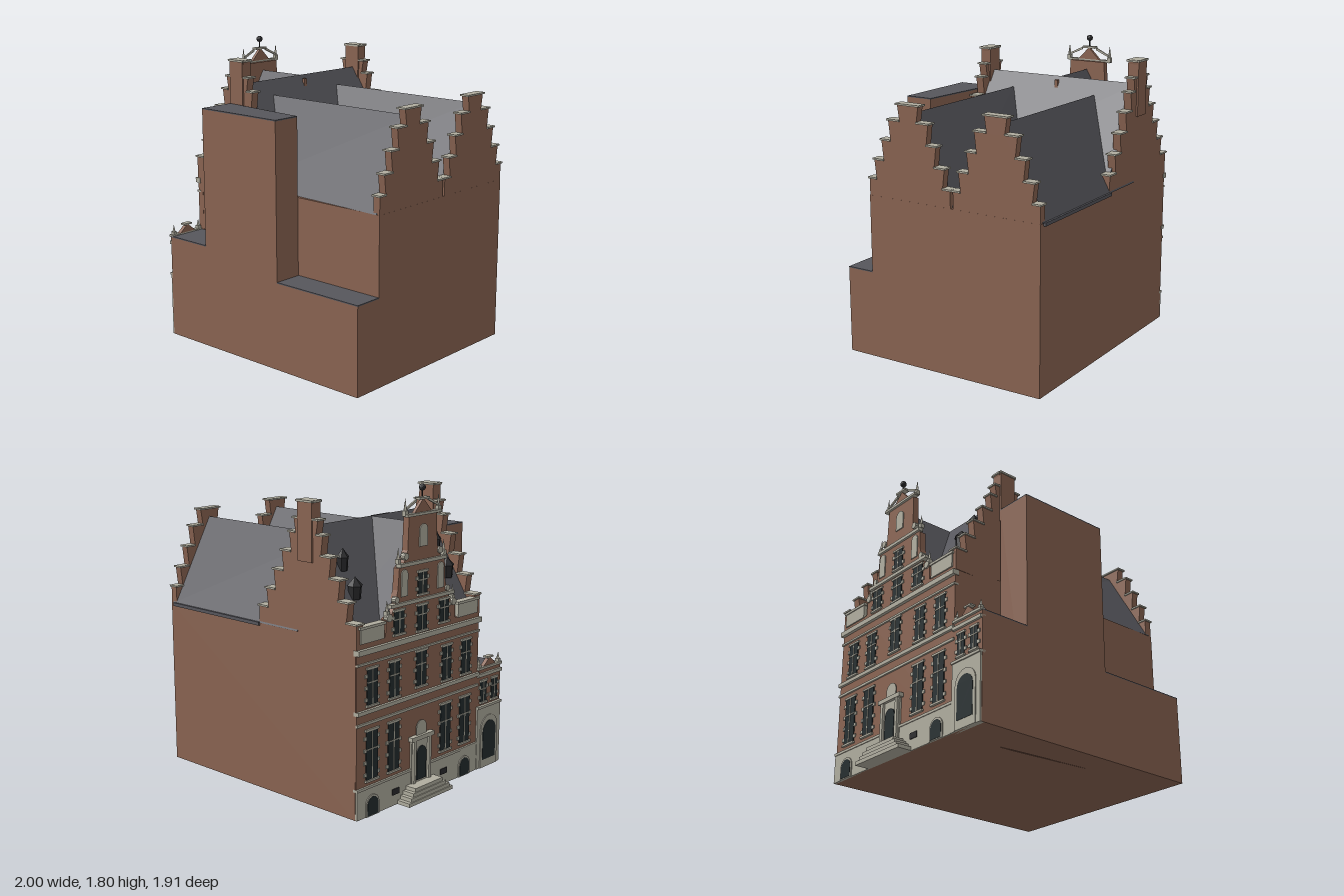
import * as THREE from 'three';

const mat = (name, color, double) => {
  const m = new THREE.MeshStandardMaterial({ color, flatShading: true });
  m.name = name;
  if (double) m.side = THREE.DoubleSide;
  return m;
};

export function createModel() {
  const brick = mat('brick', 0x8a6452);
  const slate = mat('slate', 0x56565c, true);
  const stone = mat('stone', 0xb0ad9f);
  const glass = mat('darkGlass', 0x232c2e);
  const iron = mat('iron', 0x2b2b2d);

  const model = new THREE.Group();
  model.name = 'townHouse';
  const house = new THREE.Group();
  house.name = 'house';
  house.rotation.y = THREE.MathUtils.degToRad(-119.2);
  model.add(house);

  const add = (name, geo, material, parent = house) => {
    const m = new THREE.Mesh(geo, material);
    m.name = name;
    parent.add(m);
    return m;
  };
  // box from min/max corners
  const box = (name, x0, x1, y0, y1, z0, z1, material, parent) =>
    add(name, new THREE.BoxGeometry(x1 - x0, y1 - y0, z1 - z0)
      .translate((x0 + x1) / 2, (y0 + y1) / 2, (z0 + z1) / 2), material, parent);
  // vertical wall block over a ground plan of [x, z]
  const plan = (name, pts, y0, y1, material) => {
    const s = new THREE.Shape(pts.map(([x, z]) => new THREE.Vector2(x, -z)));
    const g = new THREE.ExtrudeGeometry(s, { depth: y1 - y0, bevelEnabled: false });
    return add(name, g.rotateX(-Math.PI / 2).translate(0, y0, 0), material);
  };
  // upright outline of [x, y] with depth from z0 to z1
  const outline = (name, pts, z0, z1, material, parent) => {
    const s = new THREE.Shape(pts.map(p => new THREE.Vector2(...p)));
    const g = new THREE.ExtrudeGeometry(s, { depth: z1 - z0, bevelEnabled: false });
    return add(name, g.translate(0, 0, z0), material, parent);
  };
  // solid between two matching loops of [x, y, z]
  const loft = (name, a, b, material) => {
    const v = [], n = a.length;
    const tri = (p, q, r) => v.push(...p, ...q, ...r);
    for (let i = 0; i < n; i++) {
      const j = (i + 1) % n;
      tri(a[i], b[i], b[j]);
      tri(a[i], b[j], a[j]);
    }
    tri(a[0], a[1], a[2]);
    tri(b[0], b[2], b[1]);
    const g = new THREE.BufferGeometry();
    g.setAttribute('position', new THREE.Float32BufferAttribute(v, 3));
    g.computeVertexNormals();
    return add(name, g, material);
  };

  // main walls and side extension
  plan('mainWalls', [[-0.665, 0.75], [0.425, 0.75], [0.44, 0.33], [0.486, -0.155], [0.488, -0.76], [-0.665, -0.76]], 0, 1, brick);
  const parts = [
    ['frontAnnex', [[0.425, 0.755], [0.665, 0.755], [0.665, 0.44], [0.435, 0.44]], 0.63],
    ['sideTower', [[0.44, 0.44], [0.665, 0.44], [0.665, -0.155], [0.488, -0.155]], 1.465],
    ['rearAnnex', [[0.48, -0.155], [0.665, -0.155], [0.665, -0.76], [0.48, -0.76]], 0.527],
  ];
  for (const [name, pts, h] of parts) {
    plan(name, pts, 0, h, brick);
    plan(name + 'Roof', pts, h, h + 0.007, slate);
  }

  // roofs: front wing, two rear wings and the cross roof behind the facade gable
  const frontLoop = (x) => [[x, 1, 0.745], [x, 1, 0], [x, 1.59, 0.378]];
  loft('frontRoof', frontLoop(0.42), frontLoop(-0.64), slate);
  const rearLoop = (x0, x1, xm, z) => [[x0, 1, z], [x1, 1, z], [xm, 1.505, z]];
  loft('rearRoofA', rearLoop(-0.67, -0.09, -0.385, 0.32), rearLoop(-0.67, -0.09, -0.385, -0.74), slate);
  loft('rearRoofB', rearLoop(-0.09, 0.445, 0.19, 0.32), rearLoop(-0.09, 0.492, 0.195, -0.74), slate);
  const crossLoop = (z) => [[-0.455, 1, z], [0.225, 1, z], [-0.115, 1.588, z]];
  loft('crossRoof', crossLoop(0.73), crossLoop(0.38), slate);
  box('gutter', -0.68, -0.655, 0.985, 1.005, -0.73, 0.02, slate);
  box('ridgeVent', -0.12, -0.1, 1.52, 1.57, 0.335, 0.355, brick);

  // stepped gables: levels are [half width, top height]
  const stepGable = (name, levels, thick, x, z, turn) => {
    const g = new THREE.Group();
    g.name = name;
    g.position.set(x, 0, z);
    g.rotation.y = turn;
    house.add(g);
    const right = [[levels[0][0], 0.97]];
    levels.forEach(([h, y], i) => {
      if (i) right.push([h - 0.014, levels[i - 1][1]]);
      right.push([h, y]);
    });
    const left = right.map(([h, y]) => [-h, y]).reverse();
    outline('gableWall', [...right, ...left], -thick / 2, thick / 2, brick, g);
    levels.forEach(([h, y], i) => {
      const inner = i < levels.length - 1 ? levels[i + 1][0] - 0.014 : -h;
      const t = thick / 2 + 0.008;
      if (inner < 0) box('coping', -h - 0.01, h + 0.01, y, y + 0.01, -t, t, stone, g);
      else for (const s of [-1, 1]) {
        const e = [s * inner, s * (h + 0.008)].sort((p, q) => p - q);
        box('coping', e[0], e[1], y, y + 0.01, -t, t, stone, g);
      }
    });
    return g;
  };
  const rearLevels = [[0.283, 1.1], [0.245, 1.215], [0.19, 1.335], [0.138, 1.455], [0.072, 1.55]];
  stepGable('rearGableA', rearLevels, 0.045, -0.381, -0.737, 0);
  stepGable('rearGableB', rearLevels, 0.045, 0.203, -0.737, 0);
  const sideLevels = [[0.37, 1.1], [0.31, 1.21], [0.25, 1.325], [0.185, 1.44], [0.125, 1.55], [0.09, 1.63], [0.055, 1.725]];
  for (const [name, x] of [['leftSideGable', -0.64], ['rightSideGable', 0.405]]) {
    const g = stepGable(name, sideLevels, 0.05, x, 0.385, Math.PI / 2);
    box('chimney', -0.053, 0.053, 1.4, 1.725, -0.035, 0.035, brick, g);
    box('chimneyCap', -0.06, 0.06, 1.725, 1.737, -0.042, 0.042, stone, g);
  }

  // small roof dormers
  for (const x of [-0.517, 0.295]) for (const [y, z] of [[1.24, 0.61], [1.385, 0.52]]) {
    const r = z > 0.55 ? 0.04 : 0.033;
    add('dormer', new THREE.CylinderGeometry(r, r * 0.85, 0.075, 6).translate(x, y, z), iron);
    add('dormerRoof', new THREE.ConeGeometry(r * 1.15, 0.05, 6).translate(x, y + 0.062, z), iron);
  }

  // decorated facade, laid out around its own centre line
  const facade = new THREE.Group();
  facade.name = 'facade';
  facade.position.set(-0.118, 0, 0.755);
  house.add(facade);
  const half = [[0.545, 0], [0.545, 1], [0.31, 1], [0.305, 1.09], [0.265, 1.11], [0.235, 1.16], [0.21, 1.24],
    [0.2, 1.36], [0.16, 1.39], [0.13, 1.45], [0.122, 1.64]];
  outline('facadeWall', [...half, ...half.map(([x, y]) => [-x, y]).reverse()], -0.04, 0, brick, facade);

  const band = (name, w, y0, y1, out, parent = facade) => box(name, -w, w, y0, y1, -0.02, out, stone, parent);
  band('plinth', 0.546, 0, 0.165, 0.007);
  band('plinthBand', 0.548, 0.165, 0.18, 0.012);
  band('floorBand', 0.547, 0.535, 0.55, 0.01);
  band('floorCornice', 0.548, 0.6, 0.622, 0.016);
  band('eavesBand', 0.547, 0.875, 0.887, 0.01);
  band('eavesCornice', 0.55, 0.935, 0.965, 0.02);
  band('gableCorniceLow', 0.28, 1.15, 1.17, 0.014);
  band('gableCorniceMiddle', 0.205, 1.365, 1.385, 0.014);
  band('gableCorniceTop', 0.15, 1.635, 1.65, 0.014);

  // arched or straight plate
  const plate = (name, cx, y0, w, h, z, material, arch, parent = facade) => {
    const r = w / 2, s = new THREE.Shape();
    s.moveTo(-r, 0);
    s.lineTo(r, 0);
    if (arch) s.absarc(0, h - r, r, 0, Math.PI, false);
    else { s.lineTo(r, h); s.lineTo(-r, h); }
    const g = new THREE.ExtrudeGeometry(s, { depth: 0.006, bevelEnabled: false, curveSegments: 8 });
    return add(name, g.translate(cx, y0, z), material, parent);
  };
  const win = (cx, y0, w, h, parent = facade) => {
    plate('windowGlass', cx, y0, w, h, 0, glass, false, parent);
    box('windowSill', cx - w * 0.6, cx + w * 0.6, y0 - 0.012, y0, 0, 0.014, stone, parent);
    box('windowLintel', cx - w * 0.6, cx + w * 0.6, y0 + h, y0 + h + 0.012, 0, 0.01, stone, parent);
    box('windowTransom', cx - w / 2, cx + w / 2, y0 + h * 0.62, y0 + h * 0.62 + 0.006, 0, 0.009, stone, parent);
    box('windowMullion', cx - 0.003, cx + 0.003, y0, y0 + h, 0, 0.009, stone, parent);
    const n = Math.max(2, Math.round(h / 0.08));
    for (let i = 0; i < n; i++) for (const s of [-1, 1]) {
      const bx = cx + s * (w / 2 + 0.009), by = y0 + (i + 0.3) * h / n;
      box('windowQuoin', bx - 0.009, bx + 0.009, by, by + 0.02, 0, 0.006, stone, parent);
    }
  };
  const pediment = (name, cx, w, y0, y1, z, material, parent = facade) =>
    outline(name, [[cx - w, y0], [cx + w, y0], [cx, y1]], -0.02, z, material, parent);
  const obelisk = (cx, y, h, z = -0.01, parent = facade) => {
    box('obeliskBase', cx - 0.012, cx + 0.012, y, y + h * 0.3, z - 0.012, z + 0.012, stone, parent);
    add('obelisk', new THREE.ConeGeometry(0.012, h * 0.7, 4).translate(cx, y + h * 0.65, z), stone, parent);
  };

  for (const s of [-1, 1]) {
    for (const o of [0.42, 0.235]) {
      win(s * o, 0.215, 0.095, 0.28);
      win(s * o, 0.645, 0.085, 0.2);
    }
    win(s * 0.2, 1.0, 0.085, 0.125);
    plate('basementArch', s * 0.42, 0, 0.11, 0.125, 0.007, stone, true);
    plate('basementWindow', s * 0.42, 0.005, 0.09, 0.108, 0.009, glass, true);
    plate('cellarGrille', s * 0.22, 0.065, 0.06, 0.035, 0.006, iron, false);
    plate('niche', s * 0.16, 1.2, 0.055, 0.15, 0.002, stone, true);
    // parapet panels and finials
    const p = [s * 0.33, s * 0.52].sort((a, b) => a - b);
    box('parapetPanel', p[0], p[1], 0.995, 1.075, -0.03, 0.008, stone, facade);
    box('parapetCoping', p[0] - 0.01, p[1] + 0.01, 1.075, 1.09, -0.035, 0.014, stone, facade);
    // scroll stones on the gable shoulders
    for (const [x, y, r] of [[0.285, 1.1, 0.022], [0.225, 1.19, 0.018], [0.15, 1.42, 0.02]])
      add('scroll', new THREE.CylinderGeometry(r, r, 0.03, 10).rotateX(Math.PI / 2).translate(s * x, y, -0.005), stone, facade);
    obelisk(s * 0.29, 1.11, 0.09);
    obelisk(s * 0.2, 1.385, 0.09);
    obelisk(s * 0.145, 1.64, 0.1);
    // sloping braces beside the crowning pediment
    outline('crownBrace', [[s * 0.14, 1.67], [s * 0.14, 1.682], [s * 0.05, 1.725], [s * 0.05, 1.71]], -0.015, -0.005, stone, facade);
  }
  win(0, 0.66, 0.09, 0.2);
  win(0, 0.985, 0.085, 0.14);
  win(0, 1.195, 0.08, 0.12);
  plate('topNiche', 0, 1.46, 0.07, 0.125, 0.002, stone, true);

  // crown with ball finial
  pediment('crownPediment', 0, 0.075, 1.65, 1.725, 0.0, brick);
  box('crownCap', -0.045, 0.045, 1.72, 1.732, -0.025, 0.01, stone, facade);
  add('finialRod', new THREE.CylinderGeometry(0.004, 0.004, 0.05, 6).translate(0, 1.75, -0.01), iron, facade);
  add('finialBall', new THREE.IcosahedronGeometry(0.02, 1).translate(0, 1.785, -0.01), iron, facade);

  // entrance portal and double stair
  box('portal', -0.085, 0.085, 0, 0.36, 0, 0.012, stone, facade);
  plate('doorway', 0, 0.1, 0.085, 0.2, 0.0125, glass, true);
  for (const s of [-1, 1]) box('portalColumn', s * 0.068 - 0.011, s * 0.068 + 0.011, 0.09, 0.345, 0, 0.026, stone, facade);
  box('portalCornice', -0.1, 0.1, 0.345, 0.37, 0, 0.03, stone, facade);
  plate('portalCrest', 0, 0.37, 0.09, 0.085, 0.008, stone, true);
  for (let i = 0; i < 4; i++) {
    const w = 0.2 - i * 0.025;
    box('stairStep', -w, w, i * 0.022, (i + 1) * 0.022, 0, 0.095 - i * 0.006, stone, facade);
  }

  // annex front
  const annex = new THREE.Group();
  annex.name = 'annexFront';
  annex.position.set(0.545, 0, 0.755);
  house.add(annex);
  band('annexStoneFront', 0.118, 0, 0.385, 0.01, annex);
  band('annexBand', 0.12, 0.385, 0.4, 0.018, annex);
  band('annexCornice', 0.12, 0.585, 0.605, 0.014, annex);
  band('annexParapet', 0.12, 0.63, 0.645, 0.014, annex);
  plate('annexDoorSurround', 0, 0, 0.17, 0.33, 0.0095, stone, true, annex);
  plate('annexDoor', 0, 0.05, 0.13, 0.245, 0.0115, glass, true, annex);
  pediment('annexPediment', 0, 0.06, 0.645, 0.695, 0.005, brick, annex);
  box('annexPedimentCap', -0.03, 0.03, 0.69, 0.7, -0.025, 0.01, stone, annex);
  for (const s of [-1, 1]) {
    win(s * 0.055, 0.425, 0.06, 0.125, annex);
    obelisk(s * 0.1, 0.645, 0.06, -0.005, annex);
  }
  return model;
}
